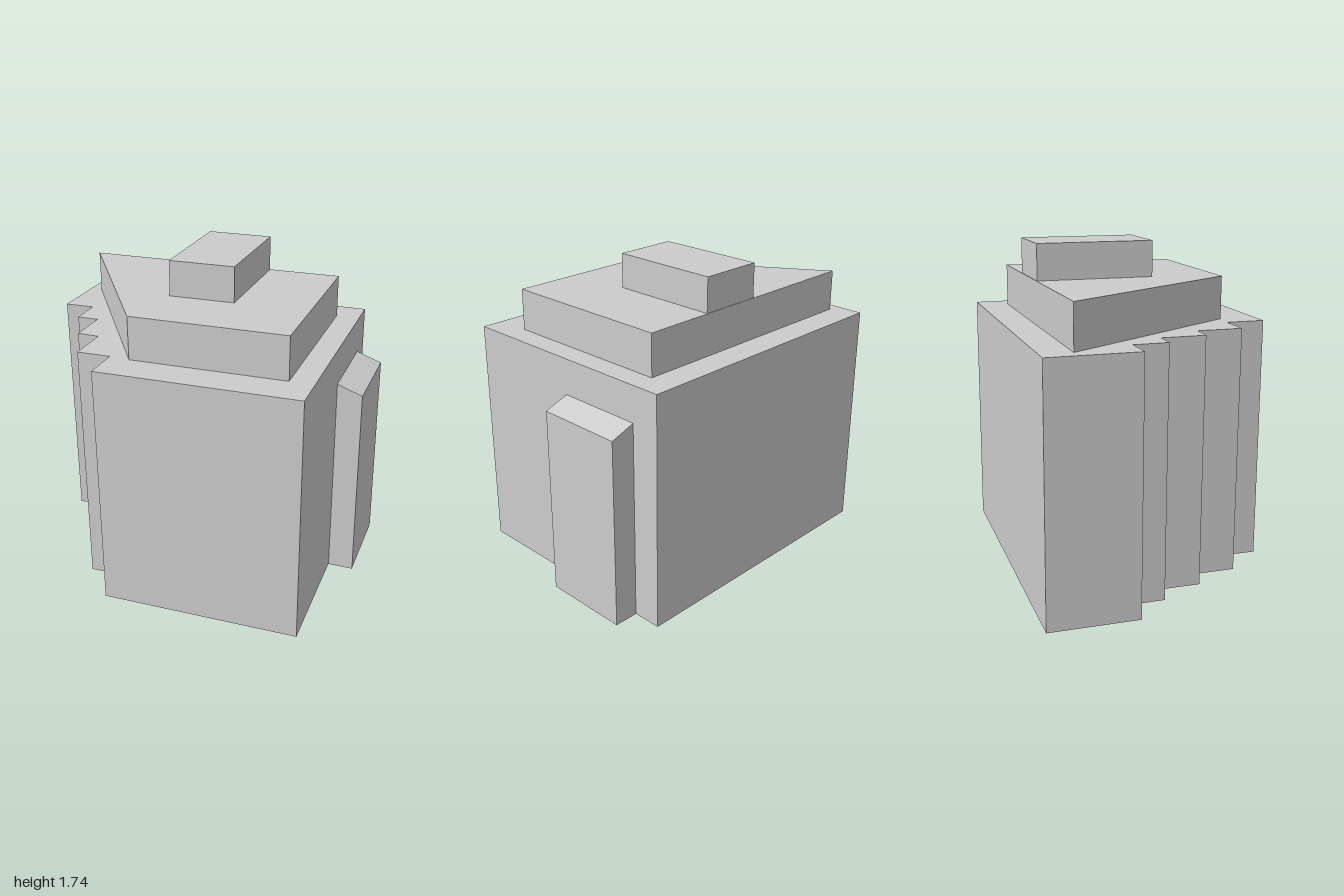
import * as THREE from 'three';

const material = new THREE.MeshStandardMaterial({ color: 0xcccccc, flatShading: true });

// Upright prism over a plan of [x, z] corners, from y0 to y1
function prism(name, plan, y0, y1) {
  const shape = new THREE.Shape(plan.map(([x, z]) => new THREE.Vector2(x, -z)));
  const geometry = new THREE.ExtrudeGeometry(shape, { depth: y1 - y0, bevelEnabled: false });
  geometry.rotateX(-Math.PI / 2).translate(0, y0, 0);
  const mesh = new THREE.Mesh(geometry, material);
  mesh.name = name;
  return mesh;
}

export function createModel() {
  const group = new THREE.Group();
  group.name = 'building';

  // Main block with a stepped, saw-toothed west side
  group.add(prism('mainBlock', [
    [-0.62, -1], [0.815, -0.17], [0.142, 1], [-0.785, 0.46],
    [-0.68, 0.28], [-0.838, 0.19], [-0.717, -0.02], [-0.82, -0.085],
    [-0.702, -0.29], [-0.805, -0.35], [-0.715, -0.51], [-0.858, -0.59],
  ], 0, 1.32));

  // Set-back upper storey and rooftop housing
  group.add(prism('upperStorey',
    [[-0.64, -0.825], [0.625, -0.095], [0.13, 0.765], [-0.59, 0.345]], 1.32, 1.55));
  group.add(prism('roofHousing',
    [[-0.03, -0.47], [0.28, -0.29], [-0.033, 0.247], [-0.34, 0.07]], 1.55, 1.74));

  // Side annex, its roof falling away from the wall
  const annex = prism('sideAnnex',
    [[0.735, -0.03], [0.855, 0.04], [0.605, 0.47], [0.488, 0.4]], 0, 1.12);
  const p = annex.geometry.attributes.position;
  for (let i = 0; i < p.count; i++) {
    const outward = p.getX(i) * 0.866 + p.getZ(i) * 0.5;
    if (p.getY(i) > 1 && outward > 0.7) p.setY(i, 1.07);
  }
  annex.geometry.computeVertexNormals();
  group.add(annex);

  return group;
}
